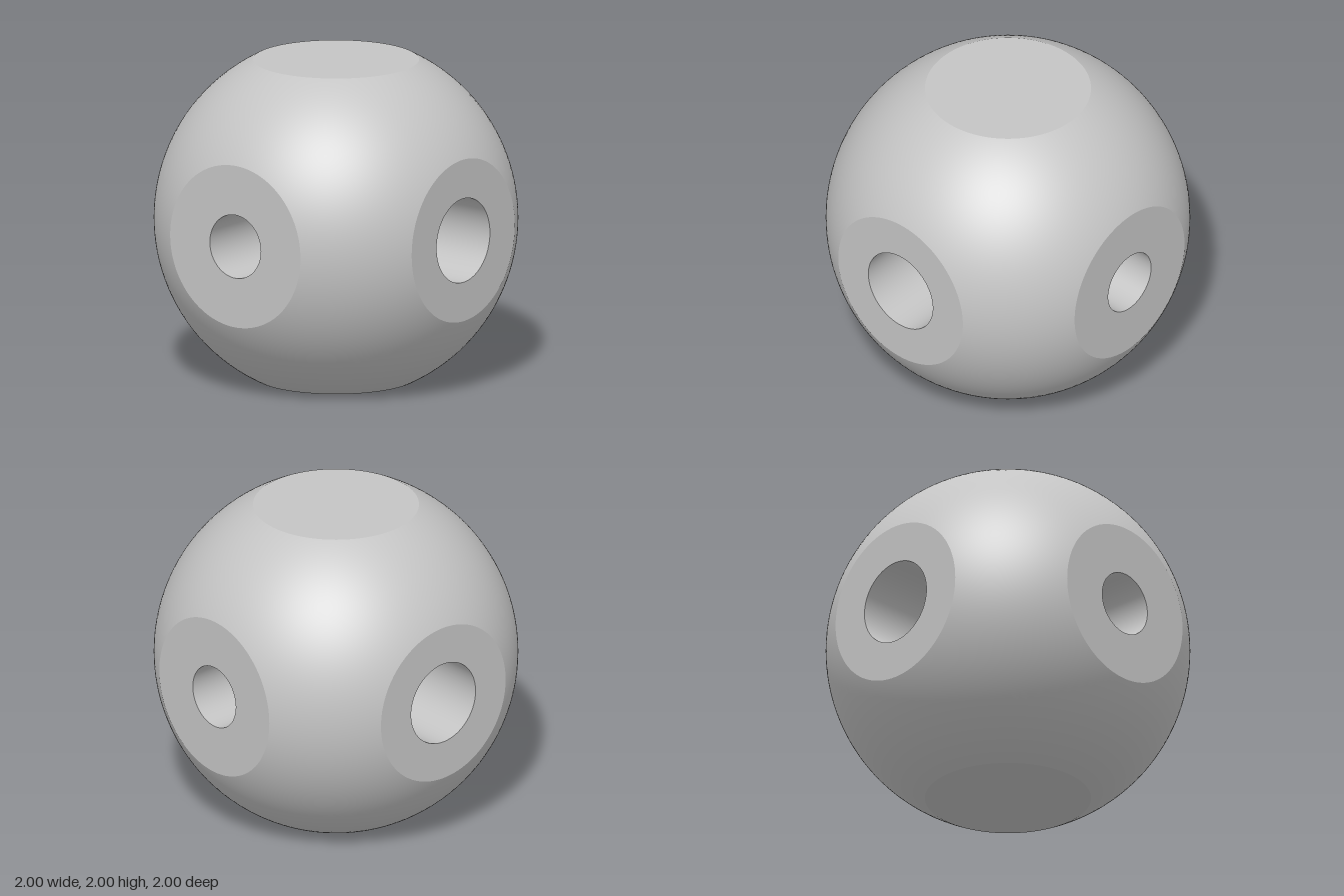
import * as THREE from 'three';

const FLAT = 0.512;                      // radius of each flat facet
const R = Math.hypot(1, FLAT);           // sphere radius, facets lie 1 from the centre
const SEG = 96, STEPS = 14;

// One sixth of the sphere: from the facet's rim out to the edge of a cube face
function spherePatch() {
  const pos = [], nor = [], idx = [];
  const v = new THREE.Vector3();
  for (let j = 0; j <= STEPS; j++) {
    for (let i = 0; i <= SEG; i++) {
      const a = (i / SEG) * Math.PI * 2, c = Math.cos(a), s = Math.sin(a);
      const edge = 1 / Math.max(Math.abs(c), Math.abs(s));
      const r = THREE.MathUtils.lerp(FLAT, edge, j / STEPS);
      v.set(r * c, 1, r * s).normalize();
      nor.push(v.x, v.y, v.z);
      pos.push(v.x * R, v.y * R, v.z * R);
      if (j < STEPS && i < SEG) {
        const p = j * (SEG + 1) + i, q = p + SEG + 1;
        idx.push(p, p + 1, q, p + 1, q + 1, q);
      }
    }
  }
  const g = new THREE.BufferGeometry();
  g.setAttribute('position', new THREE.Float32BufferAttribute(pos, 3));
  g.setAttribute('normal', new THREE.Float32BufferAttribute(nor, 3));
  g.setIndex(idx);
  return g;
}

// Flat disc or ring facing +y
function disc(inner, outer, y) {
  const g = inner > 0 ? new THREE.RingGeometry(inner, outer, SEG) : new THREE.CircleGeometry(outer, SEG);
  return g.rotateX(-Math.PI / 2).translate(0, y, 0);
}

// Wall of a bore, facing inwards
function boreWall(radius, top, bottom) {
  return new THREE.LatheGeometry([new THREE.Vector2(radius, top), new THREE.Vector2(radius, bottom)], SEG);
}

export function createModel() {
  const model = new THREE.Group();
  model.name = 'drilledBall';
  const grey = new THREE.MeshStandardMaterial({ color: 0xc4c4c4 });
  grey.name = 'grey';
  const patch = spherePatch();
  const H = Math.PI / 2;

  // Through bore along z, blind bores along x, plain facets on y
  const sides = [
    { name: 'top', rot: [0, 0, 0], bore: 0 },
    { name: 'bottom', rot: [2 * H, 0, 0], bore: 0 },
    { name: 'front', rot: [H, 0, 0], bore: 0.265, end: 0 },
    { name: 'back', rot: [-H, 0, 0], bore: 0.265, end: 0 },
    { name: 'left', rot: [0, 0, -H], bore: 0.2, end: 0.3 },
    { name: 'right', rot: [0, 0, H], bore: 0.2, end: 0.3 },
  ];

  for (const { name, rot, bore, end } of sides) {
    const side = new THREE.Group();
    side.name = name + 'Side';
    side.rotation.set(...rot);
    side.position.y = 1;
    const add = (part, geometry) => {
      const mesh = new THREE.Mesh(geometry, grey);
      mesh.name = name + part;
      side.add(mesh);
    };
    add('Shell', patch);
    add('Facet', disc(bore, FLAT, 1));
    if (bore) add('BoreWall', boreWall(bore, 1, end));
    if (end) add('BoreFloor', disc(0, bore, end));
    model.add(side);
  }
  return model;
}
